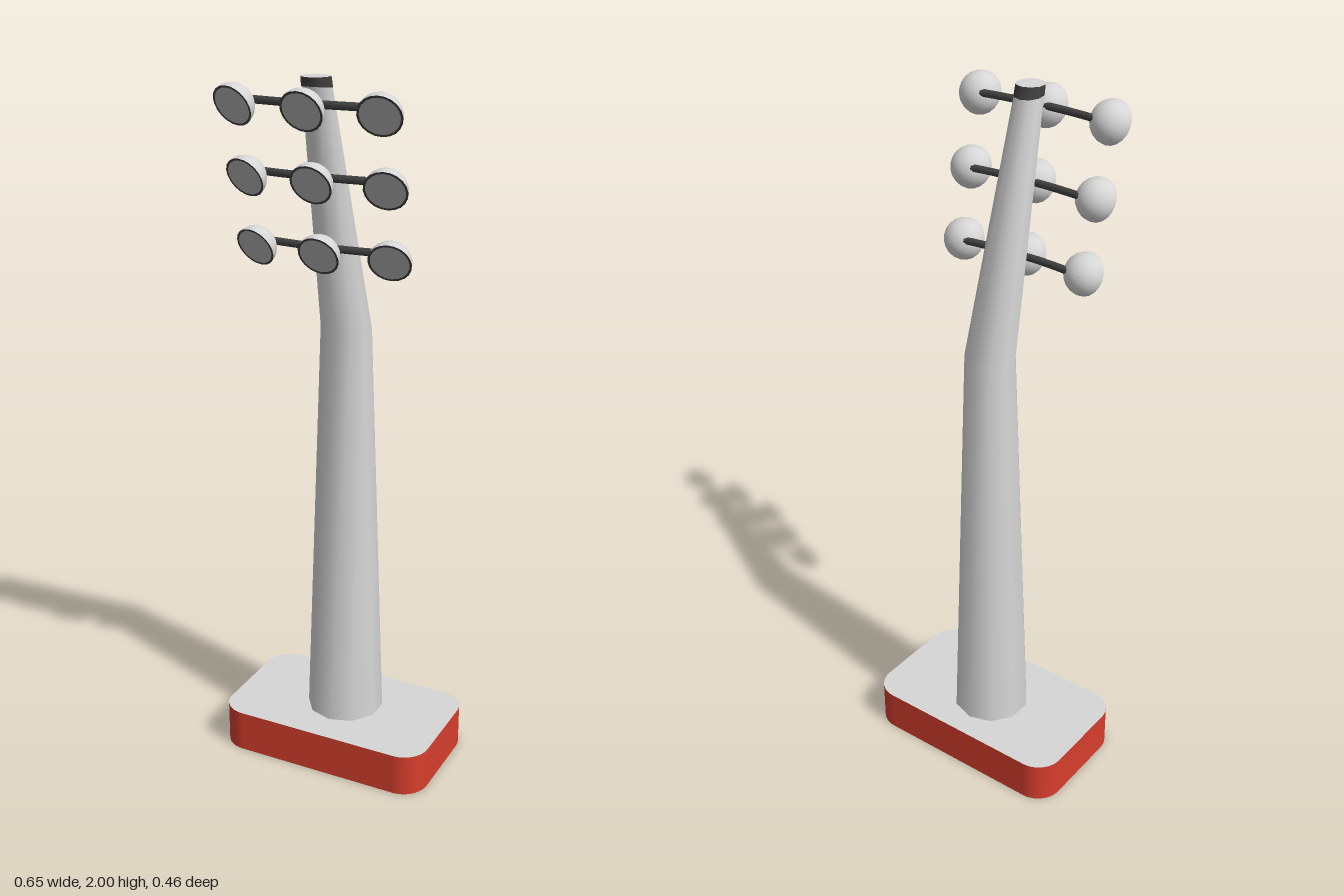
import * as THREE from 'three';

const lightGrey = new THREE.MeshStandardMaterial({ color: 0xd6d6d6, side: THREE.DoubleSide });
const lensGrey = new THREE.MeshStandardMaterial({ color: 0xb2b2b2, side: THREE.DoubleSide });
const darkGrey = new THREE.MeshStandardMaterial({ color: 0x404040, side: THREE.DoubleSide });
const red = new THREE.MeshStandardMaterial({ color: 0xd63e2d, side: THREE.DoubleSide });

function part(name, geometry, material) {
  const mesh = new THREE.Mesh(geometry, material);
  mesh.name = name;
  return mesh;
}

// Smooth open skin through closed rings of points, listed from bottom to top
function loft(rings) {
  const n = rings[0].length, index = [];
  for (let i = 0; i < rings.length - 1; i++) {
    for (let j = 0; j < n; j++) {
      const k = (j + 1) % n;
      const a = i * n + j, b = i * n + k, c = (i + 1) * n + k, d = (i + 1) * n + j;
      index.push(a, b, c, a, c, d);
    }
  }
  const geometry = new THREE.BufferGeometry().setFromPoints(rings.flat());
  geometry.setIndex(index);
  geometry.computeVertexNormals();
  return geometry;
}

// Ten-sided ring; lean lifts the front edge above the back edge
function ring(y, z, r, lean = 0) {
  return Array.from({ length: 10 }, (_, j) => {
    const a = (j / 10) * Math.PI * 2;
    return new THREE.Vector3(r * Math.sin(a), y + lean * Math.cos(a), z + r * Math.cos(a));
  });
}

function createBase() {
  const base = new THREE.Group();
  base.name = 'base';
  const w = 0.325, d = 0.19, r = 0.076, height = 0.125, zMid = -0.04;
  const shape = new THREE.Shape();
  shape.absarc(w - r, -d + r, r, -Math.PI / 2, 0);
  shape.absarc(w - r, d - r, r, 0, Math.PI / 2);
  shape.absarc(-w + r, d - r, r, Math.PI / 2, Math.PI);
  shape.absarc(-w + r, -d + r, r, Math.PI, Math.PI * 1.5);
  const outline = shape.getPoints(6);
  if (outline[0].distanceTo(outline[outline.length - 1]) < 1e-5) outline.pop();

  // Red skirt, open underneath, with a flat grey top
  const level = (y) => outline.map((p) => new THREE.Vector3(p.x, y, zMid - p.y));
  base.add(part('baseSkirt', loft([level(0), level(height)]), red));
  const top = part('baseTop', new THREE.ShapeGeometry(shape, 6), lightGrey);
  top.rotation.x = -Math.PI / 2;
  top.position.set(0, height, zMid);
  base.add(top);
  return base;
}

function createPole() {
  const pole = new THREE.Group();
  pole.name = 'pole';
  pole.add(part('poleShaft', loft([
    ring(0.025, -0.051, 0.116),
    ring(1.312, -0.051, 0.071, 0.01),
    ring(1.975, 0.115, 0.039, 0.004),
  ]), lightGrey));
  // Dark collar and flat lid at the tip
  pole.add(part('poleCollar', loft([
    ring(1.973, 0.115, 0.04, 0.004),
    ring(2, 0.121, 0.039),
  ]), darkGrey));
  const lid = part('poleLid', new THREE.CircleGeometry(0.039, 10, Math.PI / 2), lightGrey);
  lid.rotation.x = -Math.PI / 2;
  lid.position.set(0, 2, 0.121);
  pole.add(lid);
  return pole;
}

// Dome opening to +z with a lens and a thin dark rim
function createLamp() {
  const lamp = new THREE.Group();
  lamp.name = 'lamp';
  const r = 0.058;
  const dome = new THREE.SphereGeometry(r, 20, 8, 0, Math.PI * 2, 0, Math.PI / 2);
  dome.rotateX(-Math.PI / 2);
  lamp.add(part('lampDome', dome, lightGrey));
  lamp.add(part('lampLens', new THREE.CircleGeometry(0.052, 20), lensGrey));
  lamp.add(part('lampRim', new THREE.RingGeometry(0.052, r, 20), darkGrey));
  return lamp;
}

// Bowed cross arm carrying three lamps
function createLampRow({ y, z, reach }) {
  const row = new THREE.Group();
  row.name = 'lampRow';
  const end = reach + 0.016, bow = 0.018;
  const curve = new THREE.QuadraticBezierCurve3(
    new THREE.Vector3(-end, 0, -bow),
    new THREE.Vector3(0, 0, bow),
    new THREE.Vector3(end, 0, -bow),
  );
  row.add(part('crossArm', new THREE.TubeGeometry(curve, 12, 0.0105, 8), darkGrey));
  for (const end of [-1, 1]) {
    const cap = part('crossArmEnd', new THREE.CircleGeometry(0.0105, 8), darkGrey);
    cap.position.set(end * (reach + 0.016), 0, -bow);
    cap.rotation.y = end * (Math.PI / 2 + 0.16);
    row.add(cap);
  }
  for (const side of [-1, 0, 1]) {
    const lamp = createLamp();
    lamp.rotation.order = 'YXZ';
    lamp.rotation.set(0.45, side * 0.17, 0);
    lamp.position.set(side * reach, -0.014, side ? 0.026 : 0.042);
    row.add(lamp);
  }
  row.position.set(0, y, z);
  return row;
}

export function createModel() {
  const model = new THREE.Group();
  model.name = 'floodlightTower';
  model.add(createBase(), createPole());
  const rows = [
    { y: 1.937, z: 0.159, reach: 0.203 },
    { y: 1.75, z: 0.112, reach: 0.199 },
    { y: 1.56, z: 0.073, reach: 0.195 },
  ];
  for (const row of rows) model.add(createLampRow(row));
  return model;
}
